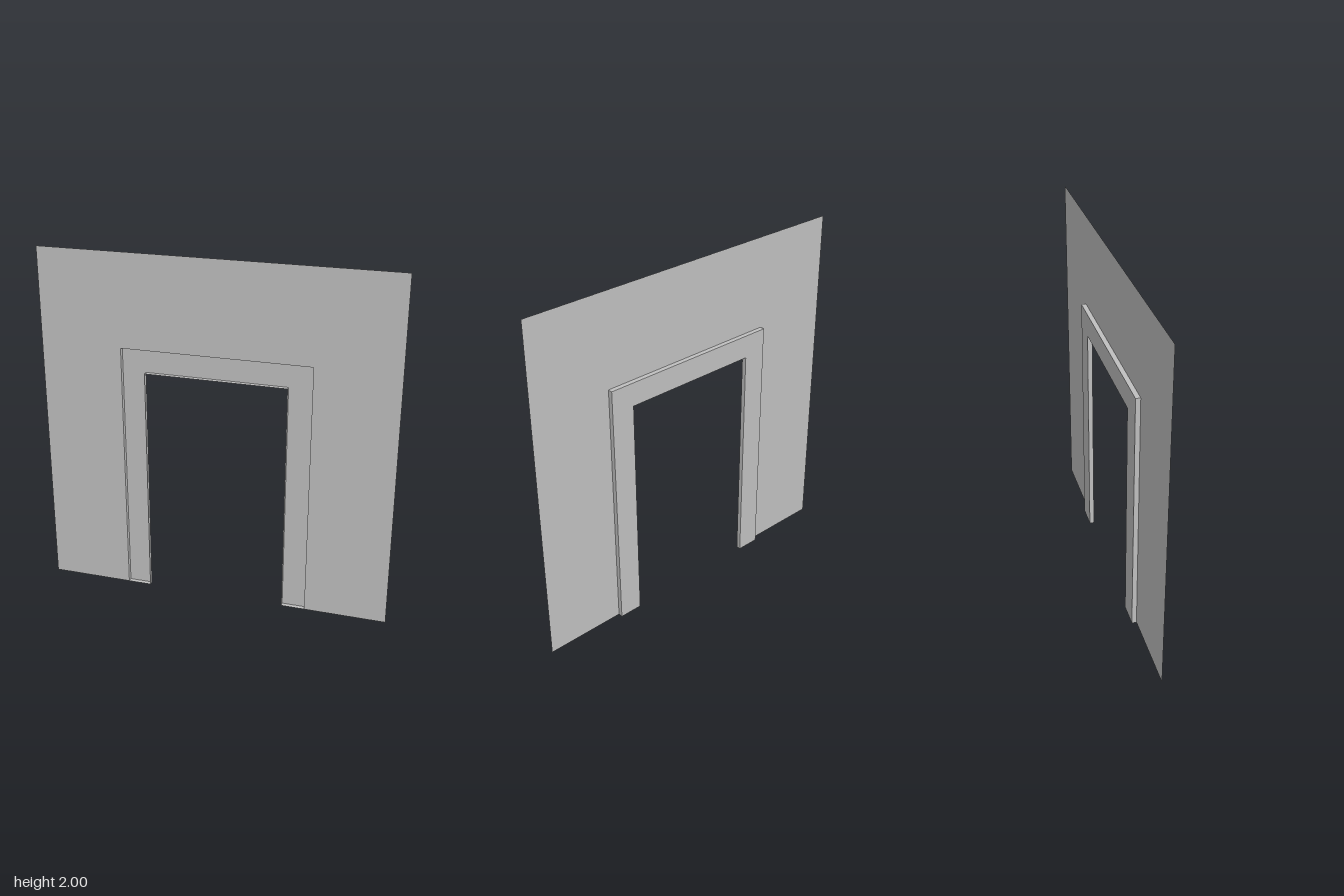
import * as THREE from 'three';

const DEPTH = 0.0267;        // depth of the recessed surround
const FRONT = DEPTH / 2;     // z of the wall sheet
const OPEN_X = 0.4, OPEN_Y = 1.333;    // doorway opening
const TRIM_X = 0.535, TRIM_Y = 1.467;  // outer edge of the surround

// Closed outline of an upside-down U standing on the ground
function archPoints(outX, outY, inX, inY) {
  return [
    [-outX, 0], [-inX, 0], [-inX, inY], [inX, inY],
    [inX, 0], [outX, 0], [outX, outY], [-outX, outY],
  ].map(([x, y]) => new THREE.Vector2(x, y));
}

export function createModel() {
  const model = new THREE.Group();
  model.name = 'doorwayWall';

  const plaster = new THREE.MeshStandardMaterial({ color: 0xbfbfbf, side: THREE.DoubleSide });
  plaster.name = 'plainGrey';

  const add = (parent, name, geometry, z) => {
    const mesh = new THREE.Mesh(geometry, plaster);
    mesh.name = name;
    mesh.position.z = z;
    parent.add(mesh);
    return mesh;
  };

  // Thin wall sheet around the surround
  const wallShape = new THREE.Shape(archPoints(1, 2, TRIM_X, TRIM_Y));
  add(model, 'wall', new THREE.ShapeGeometry(wallShape), FRONT);

  // Door surround: a shallow channel, open to the front
  const surround = new THREE.Group();
  surround.name = 'doorSurround';
  model.add(surround);

  const outline = archPoints(TRIM_X, TRIM_Y, OPEN_X, OPEN_Y);
  add(surround, 'surroundBack', new THREE.ShapeGeometry(new THREE.Shape(outline)), -FRONT);

  // One return strip along each edge of the surround
  outline.forEach((a, i) => {
    const b = outline[(i + 1) % outline.length];
    const strip = new THREE.PlaneGeometry(a.distanceTo(b), DEPTH);
    strip.rotateX(Math.PI / 2);
    strip.rotateZ(Math.atan2(b.y - a.y, b.x - a.x));
    const mesh = add(surround, 'surroundReturn', strip, 0);
    mesh.position.x = (a.x + b.x) / 2;
    mesh.position.y = (a.y + b.y) / 2;
  });

  return model;
}
